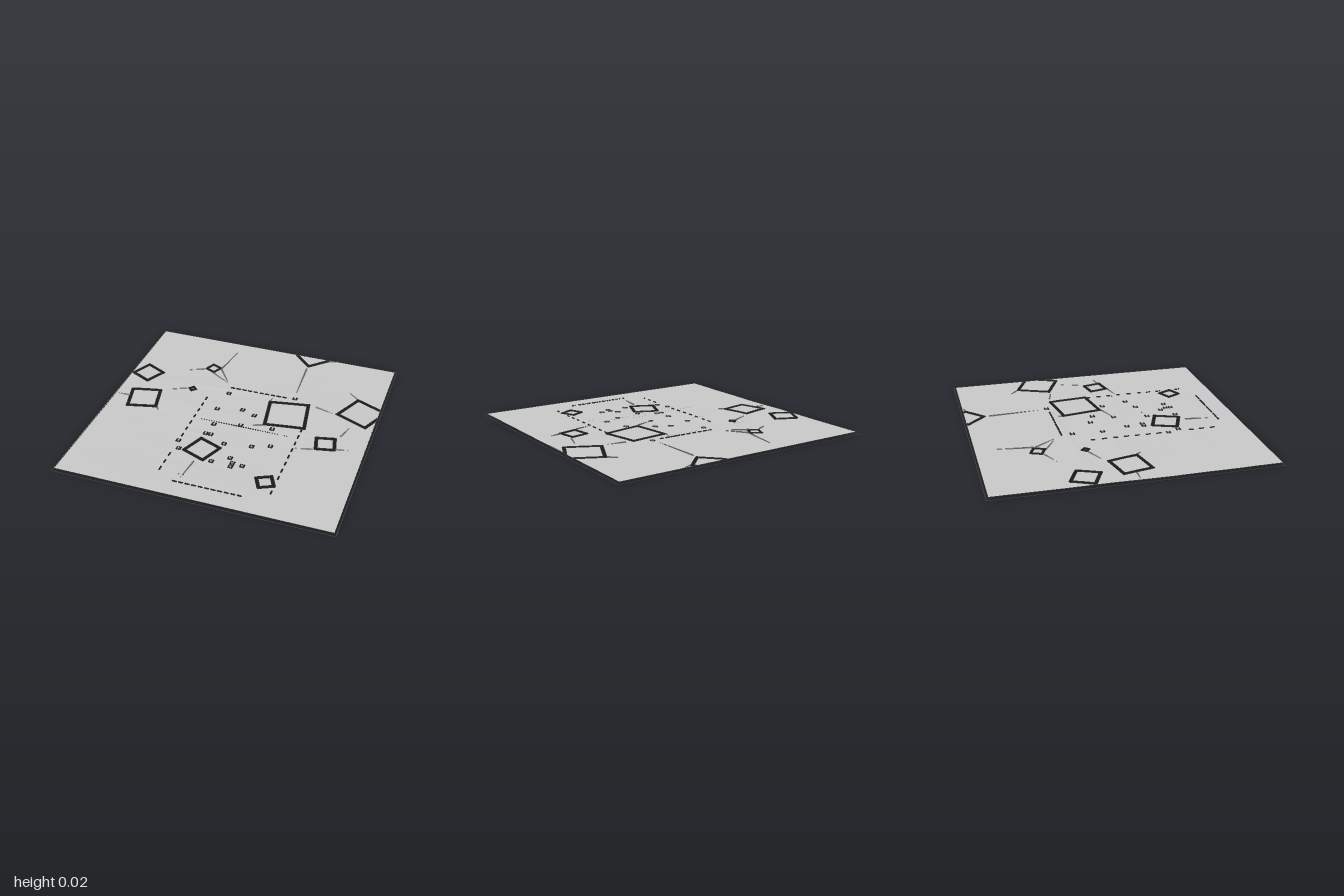
import * as THREE from 'three';

const LIMIT = 0.98, EDGE = 0.985, GAP = 0.021;

// framed panels: centre x, centre z, side, turn in degrees
const PANELS = [
  [0.34, -0.14, 0.31, -9], [-0.107, 0.449, 0.2, 22], [-0.75, -0.005, 0.235, -13],
  [-0.86, -0.337, 0.185, 25.6], [-0.393, -0.564, 0.095, 24], [-0.447, -0.24, 0.05, 42],
  [0.698, 0.11, 0.152, -12], [0.422, 0.65, 0.125, -26], [0.86, -0.334, 0.273, 24.5],
  [0.315, -0.968, 0.2, 46],
];

// small square studs: x, z
const STUDS = [
  [0.34, -0.36], [-0.16, -0.27], [-0.175, -0.05], [0.01, -0.095], [0.115, -0.055],
  [0.06, 0.095], [0.29, 0.066], [-0.13, 0.145], [-0.147, 0.268], [-0.108, 0.268],
  [0.02, 0.342], [0.215, 0.31], [0.34, 0.263], [-0.302, 0.407], [-0.265, 0.492],
  [0.003, 0.558], [0.115, 0.482], [0.148, 0.529], [0.148, 0.569], [0.222, 0.537],
];

// creases: from x, z to x, z
const CREASES = [
  [-0.33, -0.58, -0.28, -0.93], [-0.46, -0.53, -0.69, -0.42], [-0.33, -0.57, -0.21, -0.4],
  [-0.39, -0.51, -0.21, -0.4], [-0.49, -0.23, -0.62, -0.17], [-0.11, 0.6, -0.135, 0.82],
  [0.79, -0.51, 0.69, -0.6], [0.52, -0.3, 0.68, -0.26], [0.63, 0.2, 0.5, 0.23],
  [0.17, -0.27, 0.18, -0.33], [0.21, 0.04, 0.07, 0.09], [0.78, -0.01, 0.83, -0.17],
  [0.31, -0.8, 0.33, -0.4], [0.45, -0.96, 0.53, -0.99], [-0.61, 0.08, -0.58, 0.12],
  [0.78, 0.15, 0.9, 0.13], [-0.88, 0, -0.97, 0],
];

// gentle rise and fall of the sheet
const BUMPS = [[-0.87, -0.32, 0.006], [-0.75, -0.05, 0.005], [0.34, -0.12, 0.005], [0.5, -0.3, 0.004], [-0.9, 0.8, 0.003], [-0.95, -0.95, 0.005]];
function height(x, z) {
  let y = 0.013 + 0.001 * Math.sin(9 * x + 4 * z) + 0.001 * Math.sin(11 * z - 3 * x);
  for (const [bx, bz, a] of BUMPS) y += a * Math.exp(-((x - bx) ** 2 + (z - bz) ** 2) / 0.02);
  return y;
}

const material = new THREE.MeshStandardMaterial({ color: 0xcccccc, side: THREE.DoubleSide });

function add(group, geometry, name) {
  const mesh = new THREE.Mesh(geometry, material);
  mesh.name = name;
  group.add(mesh);
  return mesh;
}

// turned rectangle in plan
function rect(x, z, w, d, deg = 0) {
  const c = Math.cos(deg * Math.PI / 180), s = Math.sin(deg * Math.PI / 180);
  return [[-1, -1], [1, -1], [1, 1], [-1, 1]].map(([i, j]) => {
    const u = i * w / 2, v = j * d / 2;
    return new THREE.Vector2(x + u * c - v * s, z + u * s + v * c);
  });
}

// keep a convex outline inside the sheet
function clip(points) {
  for (const axis of ['x', 'y']) for (const sign of [-1, 1]) {
    const out = [];
    points.forEach((p, i) => {
      const q = points[(i + 1) % points.length];
      const dp = LIMIT - sign * p[axis], dq = LIMIT - sign * q[axis];
      if (dp >= 0) out.push(p);
      if (dp * dq < 0) out.push(p.clone().lerp(q, dp / (dp - dq)));
    });
    points = out;
  }
  return points;
}

// split long sides so that outlines can follow the waves
function subdivide(points, step) {
  return points.flatMap((p, i) => {
    const q = points[(i + 1) % points.length];
    const n = Math.max(1, Math.round(p.distanceTo(q) / step));
    return Array.from({ length: n }, (_, k) => p.clone().lerp(q, k / n));
  });
}

// flat outline laid on the wavy height
function layer(outline, holes = [], rise = height) {
  const flip = pts => pts.map(p => new THREE.Vector2(p.x, -p.y));
  const shape = new THREE.Shape(flip(outline));
  shape.holes = holes.map(h => new THREE.Path(flip(h)));
  const geometry = new THREE.ShapeGeometry(shape).rotateX(-Math.PI / 2);
  const pos = geometry.attributes.position;
  for (let i = 0; i < pos.count; i++) pos.setY(i, rise(pos.getX(i), pos.getZ(i)));
  geometry.computeVertexNormals();
  return geometry;
}

// low tapering fold along a line
function crease([x0, z0, x1, z1]) {
  const len = Math.hypot(x1 - x0, z1 - z0);
  const nx = -(z1 - z0) / len * 0.005, nz = (x1 - x0) / len * 0.005;
  const y0 = height(x0, z0), y1 = height(x1, z1);
  const a = [x0 + nx, y0, z0 + nz], b = [x0 - nx, y0, z0 - nz];
  const top = [x0, y0 + 0.004, z0], tip = [x1, y1, z1];
  const geometry = new THREE.BufferGeometry();
  geometry.setAttribute('position', new THREE.Float32BufferAttribute([...a, ...tip, ...top, ...top, ...tip, ...b], 3));
  geometry.computeVertexNormals();
  return geometry;
}

export function createModel() {
  const model = new THREE.Group();
  model.name = 'groundSheet';
  const holes = [];

  // panels floating inside their square gaps
  for (const [x, z, side, deg] of PANELS) {
    const inner = side - 2 * GAP * (side < 0.1 ? 0.75 : 1);
    holes.push(subdivide(clip(rect(x, z, side, side, deg)), 0.08));
    add(model, layer(subdivide(clip(rect(x, z, inner, inner, deg)), 0.08)), 'panel');
  }

  // studs standing in small square holes
  for (const [x, z] of STUDS) {
    holes.push(rect(x, z, 0.032, 0.032));
    add(model, new THREE.BoxGeometry(0.018, 0.008, 0.018), 'stud').position.set(x, height(x, z), z);
  }

  // dashed slits around the middle
  const free = (x, z) => PANELS.every(p => Math.hypot(x - p[0], z - p[1]) > p[2] * 0.67)
    && STUDS.every(p => Math.hypot(x - p[0], z - p[1]) > 0.045);
  const slit = (x, z, w, d) => { if (free(x, z)) holes.push(rect(x, z, w, d)); };
  for (let i = 0; i < 11; i++) for (const z of [-0.35, 0.84]) slit(-0.155 + i * 0.046, z, 0.032, 0.008);
  for (let i = 0; i < 12; i++) for (const x of [-0.3, 0.494]) slit(x, -0.15 + i * 0.081, 0.008, 0.036);

  // main sheet and its thin surrounding border
  add(model, layer(subdivide(rect(0, 0, 2 * EDGE, 2 * EDGE), 0.1), holes), 'sheet');
  add(model, layer(rect(0, 0, 2, 2), [rect(0, 0, 1.988, 1.988)], () => 0), 'border');

  for (const c of CREASES) add(model, crease(c), 'crease');
  return model;
}
